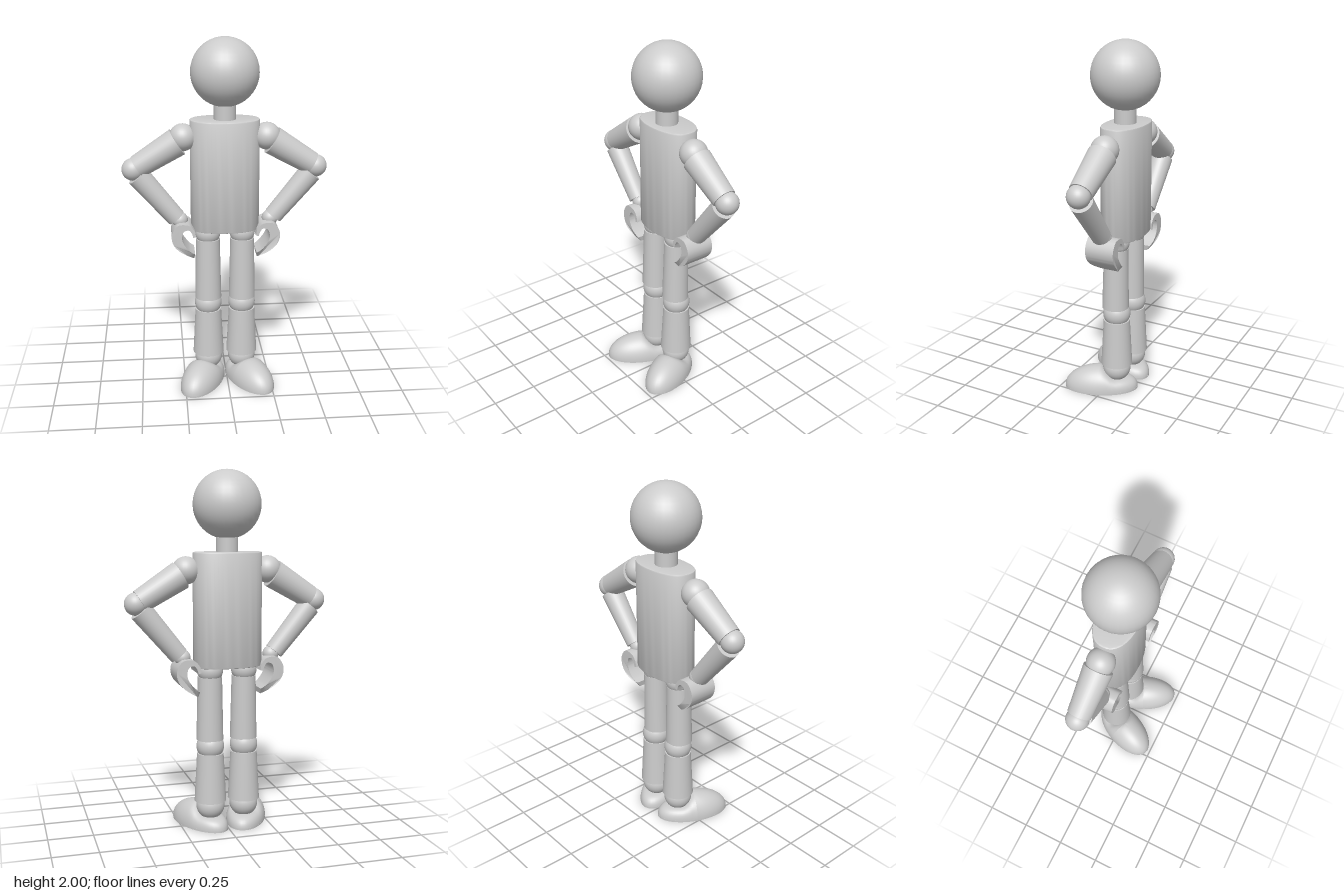
import * as THREE from 'three';
import { toCreasedNormals } from 'three/addons/utils/BufferGeometryUtils.js';

const MID_X = -0.008, MID_Z = -0.045;
const mat = new THREE.MeshStandardMaterial({ color: 0xcccccc });
const V = (x, y, z = 0) => new THREE.Vector3(x, y, z);

function add(parent, name, geometry, pos = V(0, 0)) {
  const mesh = new THREE.Mesh(geometry, mat);
  mesh.name = name;
  mesh.position.copy(pos);
  parent.add(mesh);
  return mesh;
}

const ball = (parent, name, r, pos) => add(parent, name, new THREE.SphereGeometry(r, 32, 20), pos);

// Tapered cylinder from a (radius ra) to b (radius rb)
function limb(parent, name, a, b, ra, rb) {
  const dir = b.clone().sub(a);
  const mesh = add(parent, name, new THREE.CylinderGeometry(rb, ra, dir.length(), 32), a.clone().lerp(b, 0.5));
  mesh.quaternion.setFromUnitVectors(V(0, 1), dir.normalize());
  return mesh;
}

// Upright body with a slightly squared oval section
function torsoGeometry() {
  const pts = [];
  const power = (v) => Math.sign(v) * Math.abs(v) ** (2 / 2.3);
  for (let i = 0; i < 48; i++) {
    const t = (i / 48) * Math.PI * 2;
    pts.push(new THREE.Vector2(0.185 * power(Math.cos(t)), 0.105 * power(Math.sin(t))));
  }
  const geo = new THREE.ExtrudeGeometry(new THREE.Shape(pts), {
    depth: 0.615, bevelThickness: 0.008, bevelSize: 0.008, bevelSegments: 2,
  });
  geo.rotateX(-Math.PI / 2);
  return toCreasedNormals(geo, 0.6);
}

// Hooked mitten: a C-shaped outline given depth, narrowed towards the fingertips
function handGeometry(side) {
  const P = (list) => list.map(([x, y]) => new THREE.Vector2(x * side, y));
  const outer = P([[0.174, 0.94], [0.205, 0.974], [0.263, 0.978], [0.295, 0.944], [0.305, 0.902],
    [0.29, 0.854], [0.247, 0.81], [0.179, 0.768]]);
  const inner = P([[0.174, 0.80], [0.205, 0.822], [0.237, 0.865], [0.247, 0.902], [0.237, 0.938],
    [0.21, 0.947], [0.193, 0.93], [0.184, 0.902]]);
  const tip = P([[0.168, 0.907]]);
  const outline = [
    ...new THREE.SplineCurve(outer).getPoints(36),
    ...new THREE.SplineCurve(inner).getPoints(36),
    ...tip,
  ];
  const geo = new THREE.ExtrudeGeometry(new THREE.Shape(outline), { depth: 0.168, steps: 4, bevelEnabled: false });
  geo.translate(0, 0, -0.084);
  const p = geo.attributes.position;
  for (let i = 0; i < p.count; i++) {
    const t = Math.max(0, (0.845 - p.getY(i)) / 0.08);
    p.setZ(i, p.getZ(i) * Math.sqrt(Math.max(0.1, 1 - 0.7 * t * t)));
  }
  return toCreasedNormals(geo, 0.6);
}

// Shoe: half sphere reshaped into a domed toe and a low, boxier heel
function shoeGeometry() {
  const geo = new THREE.SphereGeometry(1, 40, 16, 0, Math.PI * 2, 0, Math.PI / 2);
  const p = geo.attributes.position;
  for (let i = 0; i < p.count; i++) {
    const x = p.getX(i), z = p.getZ(i);
    const s = Math.min(1, Math.hypot(x, z));
    const k = THREE.MathUtils.smoothstep(z, -0.4, 0.08);
    const height = THREE.MathUtils.lerp(0.065, 0.128, k);
    const round = THREE.MathUtils.lerp(6, 2, k);
    p.setXYZ(i, x * 0.112, 0.008 + height * Math.sqrt(Math.max(0, 1 - s ** round)), z * 0.212);
  }
  geo.computeVertexNormals();
  return geo;
}

function buildArm(side) {
  const arm = new THREE.Group();
  arm.name = side > 0 ? 'leftArm' : 'rightArm';
  const at = (x, y) => V(side * x, y);
  ball(arm, 'shoulder', 0.076, at(0.232, 1.46));
  limb(arm, 'upperArm', at(0.262, 1.435), at(0.485, 1.298), 0.08, 0.065);
  ball(arm, 'elbow', 0.063, at(0.508, 1.285));
  limb(arm, 'forearm', at(0.482, 1.248), at(0.275, 0.997), 0.064, 0.053);
  ball(arm, 'wrist', 0.045, at(0.255, 0.985));
  add(arm, 'hand', handGeometry(side));
  return arm;
}

function buildLeg(side) {
  const leg = new THREE.Group();
  leg.name = side > 0 ? 'leftLeg' : 'rightLeg';
  const x = side * 0.098;
  ball(leg, 'hip', 0.072, V(x, 0.905));
  limb(leg, 'thigh', V(x, 0.87, 0.004), V(x, 0.512, 0.008), 0.068, 0.076);
  ball(leg, 'knee', 0.078, V(x, 0.475));
  limb(leg, 'shin', V(x, 0.435), V(x, 0.158), 0.075, 0.09);
  ball(leg, 'ankle', 0.08, V(x, 0.13));

  // Foot turned outwards
  const foot = new THREE.Group();
  foot.name = 'foot';
  foot.position.set(side * 0.138, 0, 0.035 - MID_Z);
  foot.rotation.y = side * 0.43;
  add(foot, 'shoe', shoeGeometry());
  const sole = add(foot, 'sole', new THREE.CylinderGeometry(1, 1, 0.01, 40), V(0, 0.005));
  sole.scale.set(0.112, 1, 0.212);
  leg.add(foot);
  return leg;
}

export function createModel() {
  const model = new THREE.Group();
  model.name = 'figure';
  const body = new THREE.Group();
  body.name = 'body';
  body.position.set(MID_X, 0, MID_Z);
  model.add(body);

  ball(body, 'head', 0.187, V(0, 1.813));
  limb(body, 'neck', V(0, 1.54), V(0, 1.66), 0.061, 0.061);
  add(body, 'torso', torsoGeometry(), V(0, 0.935, -0.008));
  for (const side of [1, -1]) body.add(buildArm(side), buildLeg(side));
  return model;
}
